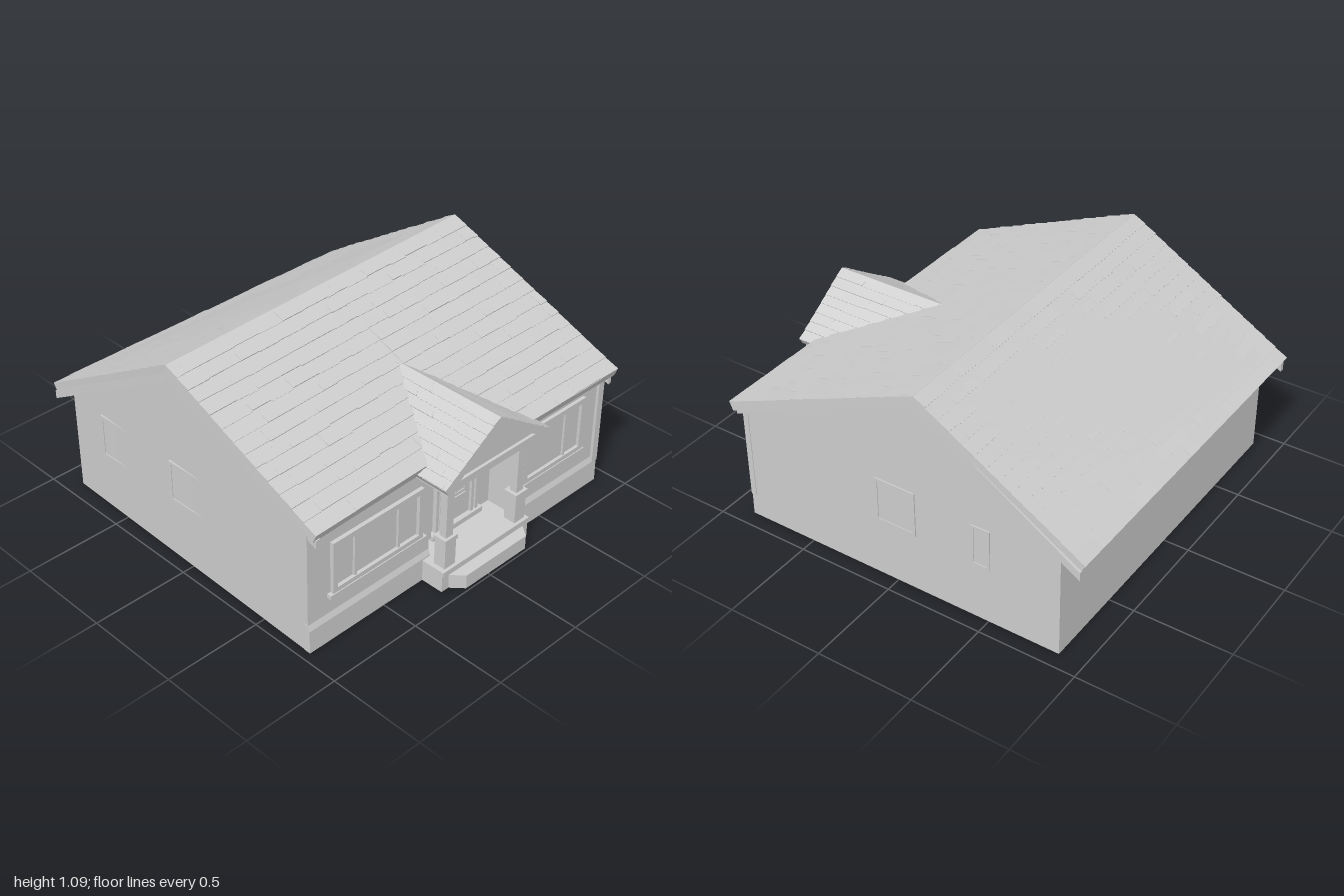
import * as THREE from 'three';

const grey = new THREE.MeshStandardMaterial({ color: 0xcccccc });
grey.name = 'plain grey';

const V = (x, y, z) => new THREE.Vector3(x, y, z);

// Seeded random numbers for the shingle layout
let seed = 7;
const rnd = () => (seed = (seed * 16807) % 2147483647) / 2147483647;

// Adds a six-sided block: four top corners (ridge left, ridge right, eave right, eave left) and four below
function pushBlock(out, t, b) {
  const quad = (p, q, r, s) => [p, q, r, p, r, s].forEach(v => out.push(v.x, v.y, v.z));
  quad(t[0], t[3], t[2], t[1]);
  quad(b[0], b[1], b[2], b[3]);
  for (let i = 0; i < 4; i++) {
    const j = (i + 1) % 4;
    quad(t[i], t[j], b[j], b[i]);
  }
}

function meshFrom(name, positions) {
  const g = new THREE.BufferGeometry();
  g.setAttribute('position', new THREE.Float32BufferAttribute(positions, 3));
  g.computeVertexNormals();
  const m = new THREE.Mesh(g, grey);
  m.name = name;
  return m;
}

// Roof slope with corners A, B (ridge) and C, D (eave), covered in courses of uneven shingles
function roofSlope(name, A, B, C, D, thick, rows) {
  const n = D.clone().sub(A).cross(B.clone().sub(A)).normalize();
  const at = (u, v, lift) => A.clone().lerp(B, u).lerp(D.clone().lerp(C, u), v).addScaledVector(n, lift);
  const ring = (u0, u1, v0, v1, l0, l1) => [at(u0, v0, l0), at(u1, v0, l0), at(u1, v1, l1), at(u0, v1, l1)];
  const out = [];
  pushBlock(out, ring(0, 1, 0, 1, 0, 0), ring(0, 1, 0, 1, -thick, -thick));
  const width = D.distanceTo(C);
  for (let r = 0; r < rows; r++) {
    let u = 0;
    while (u < 1) {
      const u1 = Math.min(1, u + (0.05 + 0.13 * rnd()) / width);
      const v0 = r / rows, v1 = Math.min(1, (r + 0.95 + 0.1 * rnd()) / rows);
      const lip = 0.003 + 0.004 * rnd();
      pushBlock(out, ring(u, u1, v0, v1, 0.001, lip), ring(u, u1, v0, v1, -0.004, -0.004));
      u = u1;
    }
  }
  return meshFrom(name, out);
}

// Board running just below a roof edge, between two points
function rakeBoard(name, p, q, x0, x1, top, bottom) {
  const out = [];
  const c = d => [V(x0, p[1] - d, p[0]), V(x1, p[1] - d, p[0]), V(x1, q[1] - d, q[0]), V(x0, q[1] - d, q[0])];
  let t = c(top), b = c(bottom);
  if (q[0] < p[0]) [t, b] = [t, b].map(a => [a[1], a[0], a[3], a[2]]);
  pushBlock(out, t, b);
  return meshFrom(name, out);
}

function box(name, x0, x1, y0, y1, z0, z1) {
  const m = new THREE.Mesh(new THREE.BoxGeometry(x1 - x0, y1 - y0, z1 - z0), grey);
  m.position.set((x0 + x1) / 2, (y0 + y1) / 2, (z0 + z1) / 2);
  m.name = name;
  return m;
}

function extrude(name, pts, depth) {
  const shape = new THREE.Shape(pts.map(p => new THREE.Vector2(...p)));
  const m = new THREE.Mesh(new THREE.ExtrudeGeometry(shape, { depth, bevelEnabled: false }), grey);
  m.name = name;
  return m;
}

// Section of the house with a gabled outline, reaching forward to zFront
function bodySection(name, x0, x1, zFront, ridgeZ, ridgeY) {
  const back = ridgeY - 0.615 * (ridgeZ + 0.87), front = ridgeY - 0.406 * (zFront - ridgeZ);
  const m = extrude(name, [[-0.87, 0], [zFront, 0], [zFront, front], [ridgeZ, ridgeY], [-0.87, back]], x1 - x0);
  m.geometry.rotateY(-Math.PI / 2).translate(x1, 0, 0);
  return m;
}

// Framed window in the local xy plane, facing +z
function windowUnit(name, w, h, frame, depth, mullions) {
  const g = new THREE.Group();
  g.name = name;
  const d = depth;
  g.add(box('glass', -w / 2, w / 2, -h / 2, h / 2, -0.01, 0.002));
  for (const s of [-1, 1]) {
    const x = s * (w - frame) / 2, y = s * (h - frame) / 2;
    g.add(box('frameSide', x - frame / 2, x + frame / 2, -h / 2, h / 2, -0.01, d));
    g.add(box('frameRail', -w / 2 + frame, w / 2 - frame, y - frame / 2, y + frame / 2, -0.01, d));
  }
  for (const x of mullions) g.add(box('mullion', x - 0.007, x + 0.007, -h / 2 + frame, h / 2 - frame, -0.01, d * 0.7));
  return g;
}

export function createModel() {
  const house = new THREE.Group();
  house.name = 'house';
  const add = (...m) => house.add(...m);

  // Walls: the left wing sits further back, the middle is recessed for the porch
  const leftBody = bodySection('leftBody', -0.955, -0.2, 0.79, -0.105, 1.045);
  const pos = leftBody.geometry.attributes.position;
  for (let i = 0; i < pos.count; i++) {
    if (pos.getX(i) < -0.9) pos.setX(i, -0.955 + 0.04 * (0.79 - pos.getZ(i)) / 1.66);
  }
  leftBody.geometry.computeVertexNormals();
  add(leftBody,
    bodySection('middleBody', -0.2, 0.3, 0.71, -0.12, 1.05),
    bodySection('rightBody', 0.3, 0.92, 0.855, -0.13, 1.06));

  // Sloped foot along the front walls
  for (const [x0, x1, z] of [[-0.957, -0.2, 0.79], [0.3, 0.92, 0.855]]) {
    const foot = extrude('wallFoot', [[z - 0.02, 0], [z + 0.014, 0], [z + 0.012, 0.12], [z - 0.001, 0.15], [z - 0.02, 0.15]], x1 - x0);
    foot.geometry.rotateY(-Math.PI / 2).translate(x1, 0, 0);
    add(foot);
  }

  // Main roof, with the front eave stepping forward at the porch
  const ridge = x => V(x, 1.08 + 0.01 * x, -0.115 - 0.02 * x);
  const frontLeft = roofSlope('frontRoofLeft', ridge(-0.95), ridge(0.02), V(0.02, 0.685, 0.835), V(-0.96, 0.675, 0.85), 0.045, 13);
  const frontRight = roofSlope('frontRoofRight', ridge(0.02), ridge(0.935), V(0.955, 0.655, 0.915), V(0.02, 0.66, 0.915), 0.045, 14);
  const backRoof = roofSlope('backRoof', ridge(0.935), ridge(-0.95), V(-0.945, 0.55, -0.985), V(0.915, 0.55, -0.985), 0.05, 14);
  add(frontLeft, frontRight, backRoof);

  // Rake boards under both gable ends
  for (const [x0, x1, zf, yf] of [[0.91, 0.93, 0.9, 0.66], [-0.95, -0.925, 0.84, 0.675]]) {
    const r = ridge(x1);
    add(rakeBoard('frontRake', [r.z, r.y], [zf, yf], x0, x1, 0.035, 0.078),
      rakeBoard('backRake', [r.z, r.y], [-0.97, 0.56], x0, x1, 0.04, 0.085));
  }

  // Corner board at the right front
  add(box('cornerBoard', 0.885, 0.923, 0.12, 0.63, 0.84, 0.87));

  // Porch roof, pediment, beam and ceiling
  add(roofSlope('porchRoofLeft', V(0.01, 0.875, 0.34), V(0.01, 0.875, 0.995), V(-0.33, 0.65, 0.995), V(-0.33, 0.65, 0.7), 0.04, 8),
    roofSlope('porchRoofRight', V(0.01, 0.875, 0.995), V(0.01, 0.875, 0.34), V(0.36, 0.645, 0.7), V(0.36, 0.645, 0.995), 0.04, 8));
  const pediment = extrude('pediment', [[-0.29, 0.63], [0.32, 0.63], [0.01, 0.845]], 0.25);
  pediment.position.z = 0.71;
  add(pediment,
    box('porchBeam', -0.3, 0.34, 0.602, 0.64, 0.78, 0.975),
    box('porchCeiling', -0.2, 0.3, 0.605, 0.66, 0.69, 0.8));

  // Porch floor and front step with slanted sides
  add(box('porchFloor', -0.25, 0.34, 0, 0.11, 0.69, 0.925),
    box('porchFloorEdge', -0.25, 0.34, 0.09, 0.113, 0.69, 0.932));
  const step = extrude('frontStep', [[-0.21, -0.92], [-0.15, -0.985], [0.26, -0.985], [0.31, -0.92]], 0.075);
  step.geometry.rotateX(-Math.PI / 2);
  add(step);

  // Porch posts on pedestals
  for (const x of [-0.19, 0.29]) {
    add(box('post', x - 0.023, x + 0.023, 0.27, 0.61, 0.865, 0.905),
      box('postCapital', x - 0.03, x + 0.03, 0.58, 0.605, 0.855, 0.912),
      box('pedestal', x - 0.035, x + 0.035, 0.11, 0.26, 0.85, 0.915),
      box('pedestalCap', x - 0.041, x + 0.041, 0.255, 0.278, 0.845, 0.92));
  }

  // Front door with surround, pane and sidelight trim
  add(box('doorSill', -0.12, 0.22, 0.11, 0.14, 0.7, 0.745),
    box('door', -0.05, 0.155, 0.14, 0.53, 0.7, 0.718),
    box('doorHead', -0.12, 0.2, 0.53, 0.56, 0.7, 0.735),
    box('doorPanel', -0.02, 0.12, 0.16, 0.27, 0.7, 0.724),
    box('wallLamp', 0.2, 0.25, 0.39, 0.455, 0.7, 0.745));
  for (const x of [-0.13, -0.08, -0.055, 0.16, 0.19]) add(box('doorTrim', x - 0.009, x + 0.009, 0.13, 0.55, 0.7, 0.732));
  const pane = windowUnit('doorWindow', 0.13, 0.18, 0.015, 0.008, [0]);
  pane.position.set(0.055, 0.37, 0.718);
  add(pane);

  // Front windows with sills
  const leftWin = windowUnit('leftWindow', 0.56, 0.28, 0.028, 0.02, [-0.14, 0.13]);
  leftWin.position.set(-0.54, 0.395, 0.79);
  const rightWin = windowUnit('rightWindow', 0.43, 0.3, 0.028, 0.018, [0.08]);
  rightWin.position.set(0.57, 0.405, 0.855);
  add(leftWin, rightWin,
    box('leftSill', -0.84, -0.24, 0.24, 0.26, 0.78, 0.815),
    box('rightSill', 0.345, 0.795, 0.243, 0.26, 0.845, 0.878));

  // Side windows
  for (const [side, x, z, y, w, h] of [[1, 0.92, 0, 0.43, 0.22, 0.24], [1, 0.92, -0.46, 0.41, 0.1, 0.22],
    [-1, -0.934, 0.02, 0.43, 0.3, 0.22], [-1, -0.921, -0.55, 0.41, 0.2, 0.23]]) {
    const win = windowUnit('sideWindow', w, h, 0.015, 0.006, []);
    win.rotation.y = side * Math.PI / 2 + (side < 0 ? 0.024 : 0);
    win.position.set(x, y, z);
    add(win);
  }
  return house;
}
